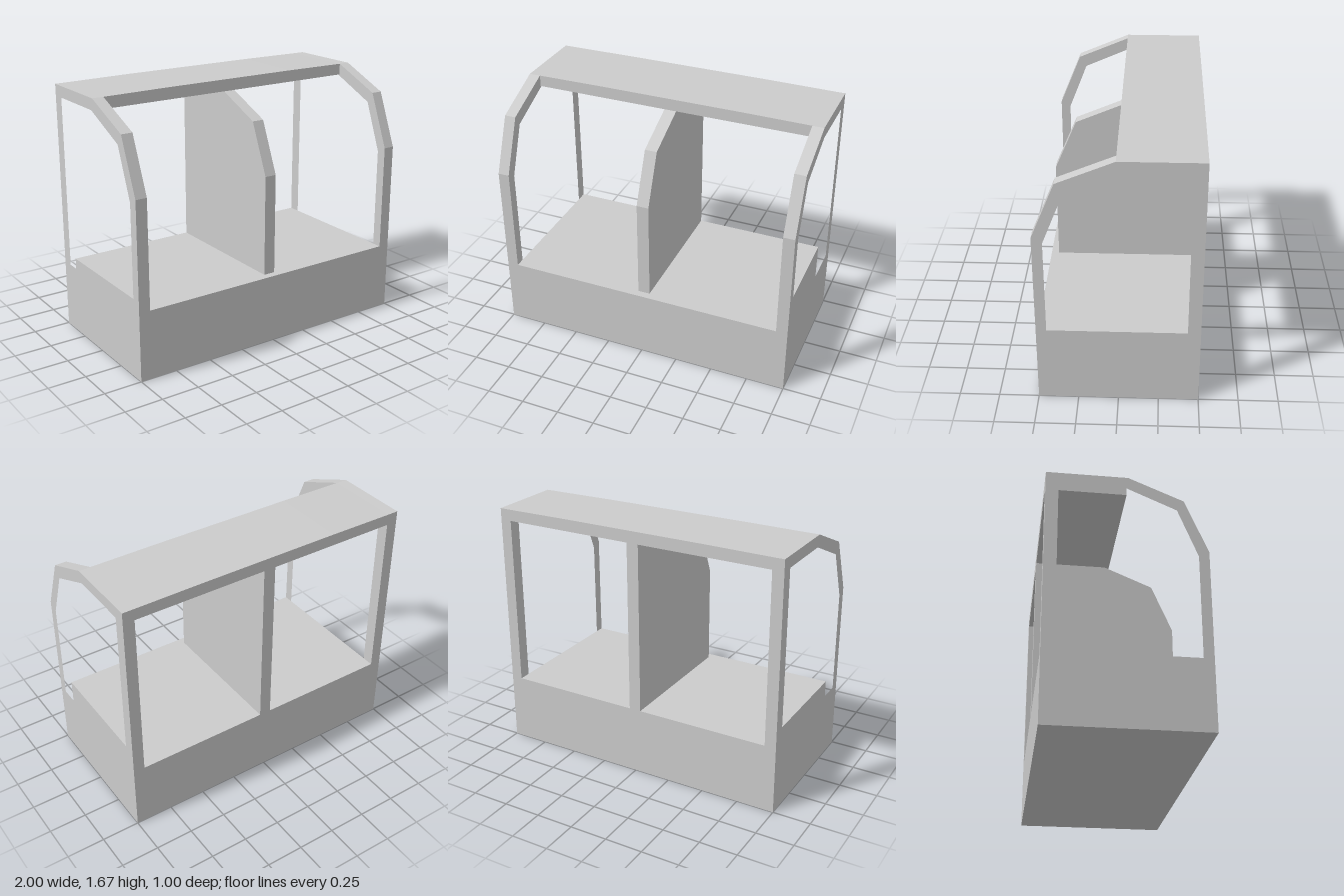
import * as THREE from 'three';

const material = new THREE.MeshStandardMaterial({ color: 0xcccccc, flatShading: true });

// Profile points are [z, y]; the extrusion runs along x from x0 to x1.
const toPoints = (profile) => profile.map(([z, y]) => new THREE.Vector2(-z, y));

function slab(name, x0, x1, outline, hole) {
  const shape = new THREE.Shape(toPoints(outline));
  if (hole) shape.holes.push(new THREE.Path(toPoints(hole)));
  const geometry = new THREE.ExtrudeGeometry(shape, { depth: x1 - x0, bevelEnabled: false });
  geometry.rotateY(Math.PI / 2).translate(x0, 0, 0);
  const mesh = new THREE.Mesh(geometry, material);
  mesh.name = name;
  return mesh;
}

export function createModel() {
  const group = new THREE.Group();
  group.name = 'cabin';
  const inner = 0.925, floorY = 0.455, ceilingY = 1.59, topY = 1.665;

  // Side frames: angled front pillar, large window opening
  const outline = [[0.5, 0], [0.5, 1.165], [0.355, 1.52], [0.01, topY], [-0.5, topY], [-0.5, 0]];
  const opening = [[0.435, floorY], [0.435, 1.13], [0.31, 1.45], [-0.01, ceilingY], [-0.42, ceilingY], [-0.42, floorY]];
  group.add(slab('leftSideFrame', inner, 1, outline, opening));
  group.add(slab('rightSideFrame', -1, -inner, outline, opening));

  // Solid base between the frames
  group.add(slab('base', -inner, inner, [[0.5, 0], [0.5, floorY], [-0.5, floorY], [-0.5, 0]]));

  // Roof panel, barely crowned towards the middle
  const roof = new THREE.Shape(
    [[-inner, ceilingY], [inner, ceilingY], [inner, topY], [0.48, 1.668], [-0.48, 1.668], [-inner, topY]]
      .map(([x, y]) => new THREE.Vector2(x, y)));
  const roofMesh = new THREE.Mesh(
    new THREE.ExtrudeGeometry(roof, { depth: 0.51, bevelEnabled: false }).translate(0, 0, -0.5), material);
  roofMesh.name = 'roof';
  group.add(roofMesh);

  // Central partition wall, flush with the back
  group.add(slab('partition', -0.04, 0.04,
    [[0.45, floorY], [0.45, 1.12], [0.31, 1.45], [-0.02, ceilingY], [-0.5, ceilingY], [-0.5, floorY]]));

  return group;
}
